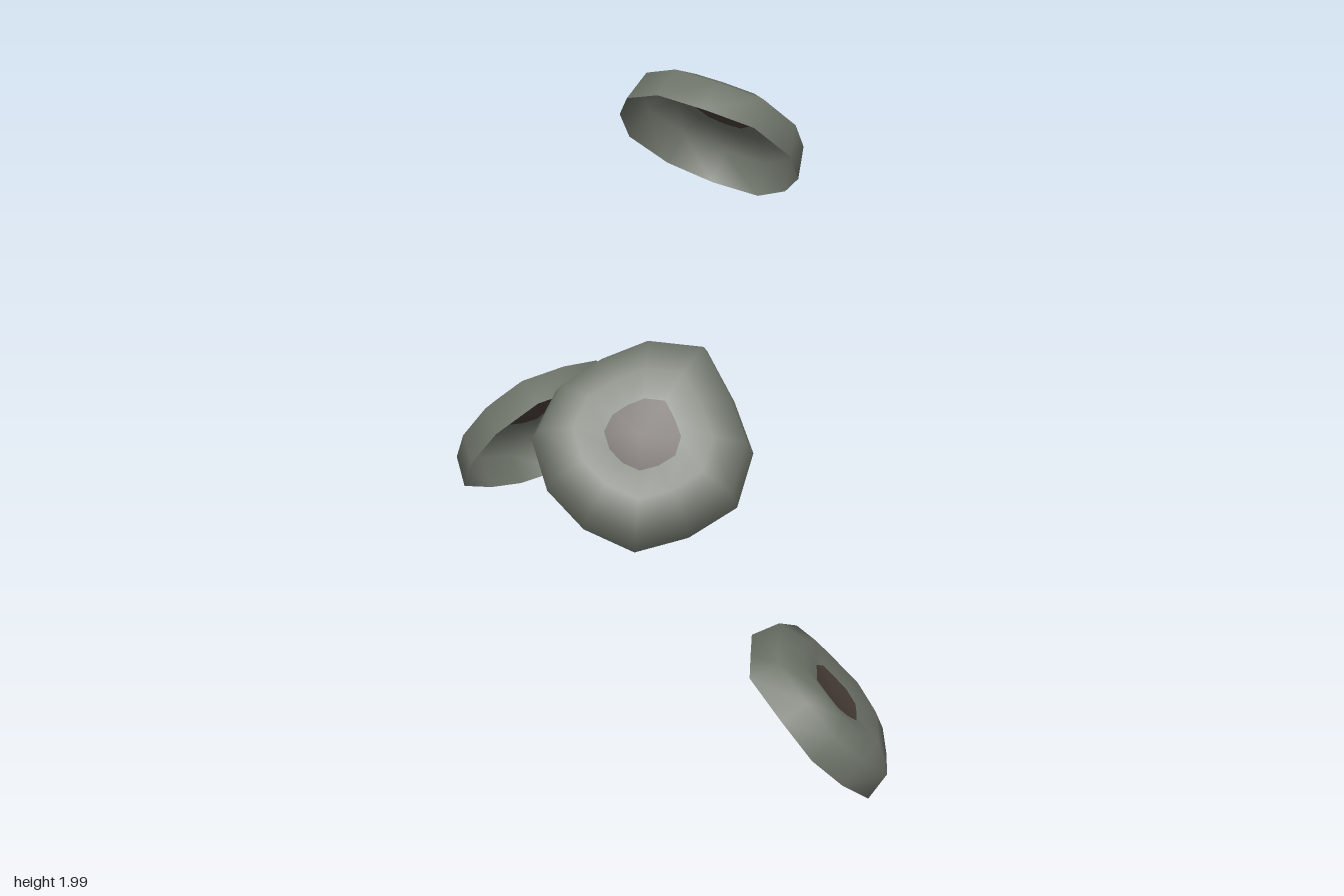
import * as THREE from 'three';

const SIDES = 12;
// Cap profile from open rim to the dented centre: [radius factor, height]
const PROFILE = [[1, 0], [0.92, 0.085], [0.62, 0.118], [0.34, 0.103]];

// Each cap: rim centre, facing direction, in-plane reference axis, rim radii every 30 degrees
const CAPS = [
  {
    name: 'topCap', centre: [0.072, 1.778, -0.305], normal: [0.33, 0.72, -0.6], axis: [1, 0, 0],
    radii: [0.245, 0.257, 0.261, 0.228, 0.247, 0.247, 0.245, 0.266, 0.257, 0.246, 0.259, 0.24],
  },
  {
    name: 'frontCap', centre: [-0.04, 1.236, 0.336], normal: [0.1, 0.66, 0.745], axis: [1, 0, 0],
    radii: [0.268, 0.272, 0.25, 0.26, 0.245, 0.248, 0.261, 0.245, 0.23, 0.256, 0.288, 0.25],
  },
  {
    name: 'backCap', centre: [-0.355, 0.94, -0.312], normal: [-0.55, 0.6, -0.58], axis: [1, 0, 0],
    radii: [0.255, 0.26, 0.25, 0.275, 0.265, 0.258, 0.268, 0.235, 0.245, 0.285, 0.262, 0.27],
  },
  {
    name: 'lowCap', centre: [0.375, 0.205, -0.13], normal: [0.74, 0.665, -0.09], axis: [0, 0, 1],
    radii: [0.257, 0.243, 0.29, 0.243, 0.27, 0.29, 0.26, 0.303, 0.304, 0.262, 0.287, 0.257],
  },
];

// Open shallow shell: rings of irregular radius closed by a centre fan (second material)
function capGeometry(radii) {
  const pos = [];
  const index = [];
  for (const [factor, height] of PROFILE) {
    for (let j = 0; j < SIDES; j++) {
      const a = (j / SIDES) * Math.PI * 2;
      const r = radii[j] * factor;
      pos.push(r * Math.cos(a), height, r * Math.sin(a));
    }
  }
  pos.push(0, 0.1, 0);
  const last = PROFILE.length - 1;
  for (let i = 0; i < last; i++) {
    for (let j = 0; j < SIDES; j++) {
      const k = (j + 1) % SIDES;
      const a = i * SIDES + j, b = i * SIDES + k;
      index.push(a, a + SIDES, b, b, a + SIDES, b + SIDES);
    }
  }
  const shellCount = index.length;
  for (let j = 0; j < SIDES; j++) {
    index.push(last * SIDES + j, PROFILE.length * SIDES, last * SIDES + ((j + 1) % SIDES));
  }
  const g = new THREE.BufferGeometry();
  g.setAttribute('position', new THREE.Float32BufferAttribute(pos, 3));
  g.setIndex(index);
  g.addGroup(0, shellCount, 0);
  g.addGroup(shellCount, index.length - shellCount, 1);
  g.computeVertexNormals();
  return g;
}

export function createModel() {
  const shell = new THREE.MeshStandardMaterial({ color: 0x6e746a, side: THREE.DoubleSide });
  shell.name = 'grey green shell';
  const spot = new THREE.MeshStandardMaterial({ color: 0x4a3f39, side: THREE.DoubleSide });
  spot.name = 'dark brown centre';

  const model = new THREE.Group();
  model.name = 'floatingCaps';
  for (const cap of CAPS) {
    const mesh = new THREE.Mesh(capGeometry(cap.radii), [shell, spot]);
    mesh.name = cap.name;
    // Tilt the cap so its convex side faces along the normal
    const n = new THREE.Vector3(...cap.normal).normalize();
    const u = new THREE.Vector3(...cap.axis).projectOnPlane(n).normalize();
    const w = new THREE.Vector3().crossVectors(u, n);
    mesh.quaternion.setFromRotationMatrix(new THREE.Matrix4().makeBasis(u, n, w));
    mesh.position.set(...cap.centre);
    model.add(mesh);
  }
  return model;
}
